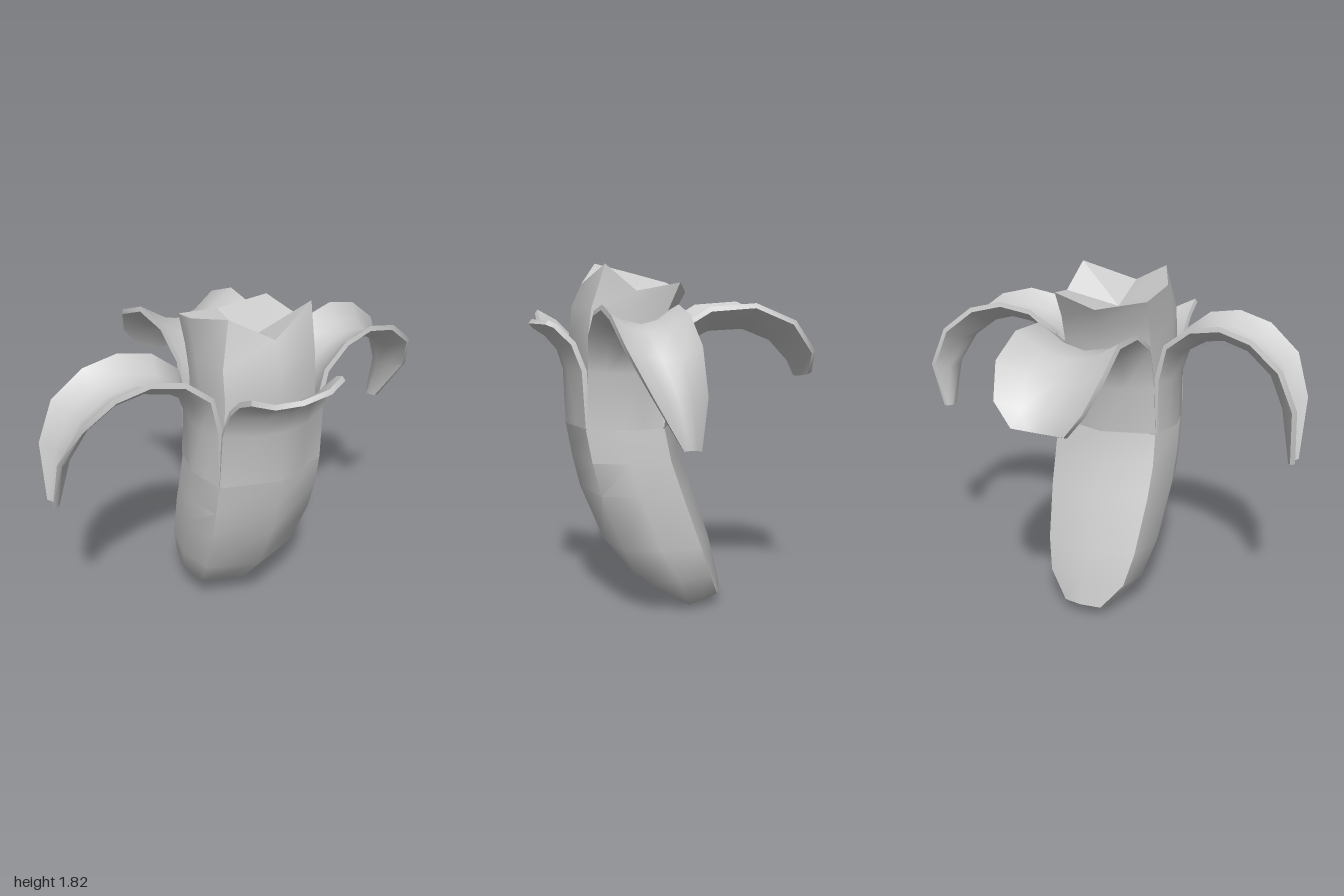
import * as THREE from 'three';
import { toCreasedNormals } from 'three/addons/utils/BufferGeometryUtils.js';

const material = new THREE.MeshStandardMaterial({ color: 0xcccccc, side: THREE.DoubleSide });

// Skins a stack of closed loops (counterclockwise from above), with optional caps.
function loft(rings, { bottom = false, top = false, crease = 0.95 } = {}) {
  const n = rings[0].length, index = [];
  const quad = (a, b, c, d) => index.push(a, b, c, a, c, d);
  for (let r = 0; r < rings.length - 1; r++) {
    for (let k = 0; k < n; k++) {
      const a = r * n + k, b = r * n + (k + 1) % n;
      quad(a, b, b + n, a + n);
    }
  }
  const last = (rings.length - 1) * n;
  for (let k = 0; k < n / 2 - 1; k++) {
    if (top) quad(last + k, last + k + 1, last + n - 2 - k, last + n - 1 - k);
    if (bottom) quad(n - 1 - k, n - 2 - k, k + 1, k);
  }
  const g = new THREE.BufferGeometry();
  g.setAttribute('position', new THREE.Float32BufferAttribute(rings.flat(2), 3));
  g.setIndex(index);
  return toCreasedNormals(g, crease);
}

function addMesh(parent, name, geometry) {
  const mesh = new THREE.Mesh(geometry, material);
  mesh.name = name;
  parent.add(mesh);
  return mesh;
}

// Squarish octagon: sideways factor and front-to-back factor per corner.
const OCTAGON = [[0, 1], [0.86, 0.66], [1, 0], [0.84, -0.74], [0, -1], [-0.84, -0.74], [-1, 0], [-0.86, 0.66]];

// Tilted octagon between a front point and a back point.
const octagonRing = ([zf, yf, zb, yb, w]) => OCTAGON.map(([u, v]) => {
  const t = (1 - v) / 2;
  return [u * w, yf + (yb - yf) * t, zf + (zb - zf) * t];
});

// Peeled strip facing +z. Rows: [outward, height, side shift, half width, edge lift].
// Edges are lifted towards the inner face, which turns with the path.
function flapGeometry(rows, jag = [0, 0, 0, 0, 0]) {
  const columns = [-1, -0.5, 0, 0.5, 1];
  const rings = rows.map(([d, y, shift, hw, lift], i) => {
    const p = rows[Math.max(i - 1, 0)], q = rows[Math.min(i + 1, rows.length - 1)];
    const len = Math.hypot(q[0] - p[0], q[1] - p[1]);
    const td = (q[0] - p[0]) / len, ty = (q[1] - p[1]) / len;
    const point = (v, k, depth) => {
      const bend = i === 0 ? Math.abs(v) : v * v;
      const up = lift * bend + depth;
      const along = i === rows.length - 1 ? jag[k] : 0;
      const side = shift + v * hw * (depth ? 0.97 : 1);
      return [side, y + td * up + ty * along, d - ty * up + td * along];
    };
    const outer = columns.map((v, k) => point(v, k, 0));
    const inner = columns.map((v, k) => point(v, k, 0.025)).reverse();
    return [...outer, ...inner];
  });
  return loft(rings, { top: true, crease: 0.9 });
}

// Side strip: arches out and droops to a narrow tip, drifting along its width.
function sideFlap(shift, drift, tip) {
  const rows = [
    [0.335, 1.0, 0, 0.19, 0.045], [0.335, 1.28, 0, 0.18, 0.05], [0.385, 1.42, 0, 0.18, 0.075],
    [0.48, 1.48, 0.02, 0.18, 0.09], [0.6, 1.505, 0.05, 0.18, 0.09], [0.72, 1.475, 0.08, 0.18, 0.09],
    [0.84, 1.38, 0.12, 0.17, 0.09], [0.915, 1.22, 0.18, 0.12, 0.08], [...tip, 0.24, 0.04, 0.02],
  ];
  return flapGeometry(rows.map(([d, y, s, hw, lift]) => [d, y, shift + s * drift, hw, lift]));
}

export function createModel() {
  const model = new THREE.Group();
  model.name = 'peeledBanana';

  // Closed lower peel: front z, front y, back z, back y, half width
  addMesh(model, 'lowerPeel', loft([
    [-0.07, 0, -0.29, 0.08, 0.125],
    [0.18, 0.17, -0.265, 0.21, 0.255],
    [0.34, 0.37, -0.225, 0.37, 0.3],
    [0.46, 0.66, -0.125, 0.66, 0.333],
    [0.5, 0.83, -0.065, 0.83, 0.34],
    [0.53, 1.0, -0.03, 1.0, 0.335],
  ].map(octagonRing), { bottom: true, crease: 1.0 }));

  // Fruit with a bitten, uneven top
  const rim = [
    [0, 1.71, 0.44], [0.265, 1.81, 0.33], [0.29, 1.68, 0.18], [0.25, 1.72, -0.04],
    [0, 1.67, -0.1], [-0.25, 1.72, -0.03], [-0.29, 1.77, 0.15], [-0.2, 1.82, 0.36],
  ];
  const fruitWalls = [
    [0.47, 0.85, -0.01, 0.85, 0.29],
    [0.5, 1.2, 0.01, 1.2, 0.295],
    [0.505, 1.45, -0.01, 1.45, 0.29],
    [0.49, 1.6, -0.05, 1.58, 0.29],
  ].map(octagonRing);
  addMesh(model, 'fruit', loft([...fruitWalls, rim], { crease: 0.85 }));
  addMesh(model, 'bittenTop', loft([rim, rim.map(() => [0, 1.62, 0.2])], { crease: 0.3 }));

  // Front strip, torn short
  addMesh(model, 'frontFlap', flapGeometry([
    [0.53, 1.0, 0, 0.288, 0.095], [0.54, 1.28, 0, 0.28, 0.09], [0.57, 1.38, 0, 0.27, 0.08],
    [0.63, 1.45, 0, 0.27, 0.07], [0.69, 1.49, 0, 0.27, 0.06],
  ], [0.03, -0.02, 0, 0.03, -0.04]));

  // Back strip, broad with a rounded end
  addMesh(model, 'backFlap', flapGeometry([
    [0.03, 1.0, 0, 0.282, 0.073], [0.05, 1.25, 0, 0.275, 0.08], [0.1, 1.41, 0, 0.27, 0.1],
    [0.22, 1.47, 0, 0.27, 0.11], [0.4, 1.48, 0, 0.275, 0.115], [0.55, 1.42, 0.01, 0.28, 0.11],
    [0.65, 1.31, 0.01, 0.23, 0.09], [0.69, 1.23, 0.01, 0.14, 0.04],
  ])).rotation.y = Math.PI;

  // Long side strips
  addMesh(model, 'leftFlap', sideFlap(-0.24, 1, [0.92, 1.0])).rotation.y = Math.PI / 2;
  addMesh(model, 'rightFlap', sideFlap(0.24, -0.6, [0.975, 0.95])).rotation.y = -Math.PI / 2;

  return model;
}
